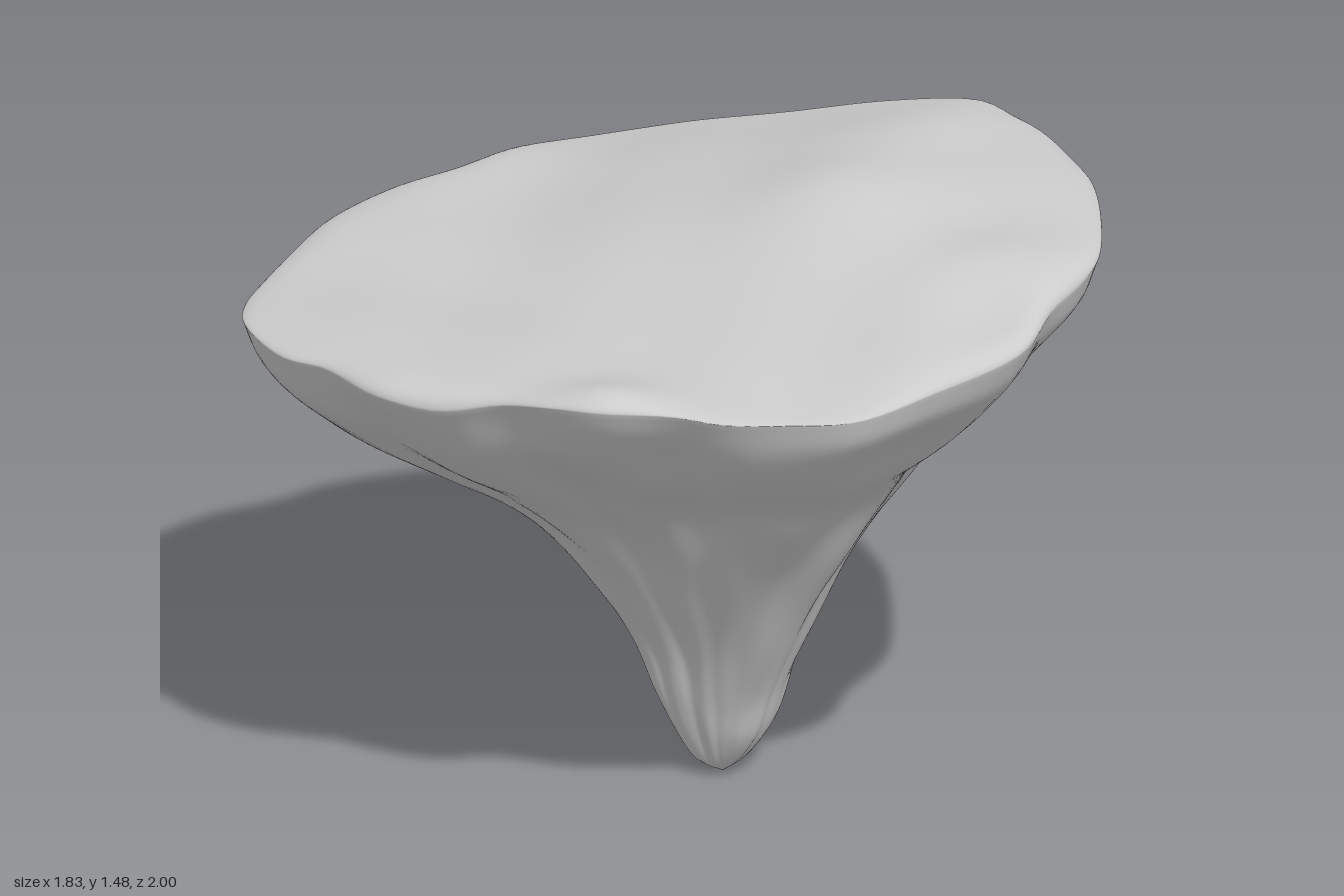
import * as THREE from 'three';

const COLS = 160, UNDER = 60, TOP = 44;

// Rim outline seen from above: x, y, z, starting at +x and turning towards +z
const RIM = [
  [.91, 1.43, .05], [.9, 1.42, .17], [.88, 1.42, .27], [.8, 1.42, .45], [.74, 1.42, .56], [.6, 1.42, .72],
  [.43, 1.41, .87], [.33, 1.39, .91], [.2, 1.37, .94], [.03, 1.33, 1], [-.2, 1.28, .935], [-.39, 1.25, .87],
  [-.5, 1.24, .75], [-.6, 1.24, .64], [-.66, 1.25, .54], [-.78, 1.26, .42], [-.815, 1.25, .3], [-.83, 1.22, .15],
  [-.89, 1.18, 0], [-.92, 1.18, -.17], [-.88, 1.18, -.37], [-.88, 1.17, -.5], [-.79, 1.17, -.71], [-.69, 1.16, -.8],
  [-.56, 1.15, -.87], [-.38, 1.14, -.95], [-.2, 1.15, -1], [-.03, 1.17, -.98], [.12, 1.19, -.91], [.3, 1.22, -.86],
  [.47, 1.24, -.77], [.63, 1.27, -.62], [.73, 1.33, -.4], [.83, 1.4, -.15],
];

// Underside profiles: share of the rim radius at each share of the rim height
const LEVELS = [0, .03, .09, .17, .28, .4, .52, .62, .7, .78, .87, .94, 1];
const PROFILES = [
  [0, .08, .15, .19, .21, .28, .38, .43, .49, .63, .81, .92, 1],     // +x
  [0, .05, .11, .15, .23, .32, .43, .53, .62, .75, .87, .96, 1],     // +z
  [0, .06, .1, .135, .175, .26, .36, .47, .59, .73, .87, .945, 1],   // -x
  [0, .05, .09, .13, .165, .22, .3, .44, .63, .83, .92, .97, 1],     // -z
].map(q => new THREE.CatmullRomCurve3(q.map((r, i) => new THREE.Vector3(r, LEVELS[i], 0))));

const { smoothstep } = THREE.MathUtils;
const bump = (x, z, cx, cz, size, h) => h * Math.exp(-((x - cx) ** 2 + (z - cz) ** 2) / size ** 2);

// Rolling ground: a low side at -x and -z stepping up to a plateau
function groundHeight(x, z) {
  const front = smoothstep(z, -.8, .2), step = smoothstep(x, -.5, .3);
  return 1.19 + .07 * front + step * (.09 + .1 * front)
    + bump(x, z, .3, .25, .22, .035) + bump(x, z, -.74, .4, .14, .05)
    + bump(x, z, .75, .1, .18, .02) + bump(x, z, .45, -.75, .2, -.01)
    - bump(x, z, .3, .55, .16, .02) - bump(x, z, .08, .87, .14, .03)
    + .006 * Math.sin(9 * x + 4 * z) * Math.sin(8 * z - 3 * x);
}

// Lumps, a fuller cross-section between the axes and one valley at the front
function rockScale(angle, t) {
  const valley = Math.exp(-(((angle - 2.45) / .2) ** 2)) * smoothstep(t, .35, .75);
  return 1 + Math.sin(Math.PI * t) * (.07 * Math.sin(2 * angle) ** 2 - .09 * valley
    + .018 * Math.sin(5 * angle + 9 * t) * Math.sin(14 * t + 2 * angle)
    + .015 * Math.sin(9 * angle - 7 * t) * Math.sin(24 * t));
}

function islandGeometry() {
  const curve = new THREE.CatmullRomCurve3(RIM.map(p => new THREE.Vector3(...p)), true);
  const rim = curve.getSpacedPoints(COLS).slice(0, COLS);
  const pos = [.05, 0, .03], index = [];

  // Underside rows, from the tip up to the rim
  for (let r = 1; r <= UNDER; r++) {
    const t = r / UNDER;
    const points = PROFILES.map(p => p.getPoint(t));
    for (const p of rim) {
      const angle = (Math.atan2(p.z, p.x) + 2 * Math.PI) % (2 * Math.PI);
      const quarter = angle / (Math.PI / 2), k = Math.floor(quarter) % 4;
      const w = Math.sin((quarter % 1) * Math.PI / 2) ** 2;
      const m = points[k].clone().lerp(points[(k + 1) % 4], w);
      const q = m.x * rockScale(angle, t);
      pos.push(.05 + (p.x - .05) * q, p.y * m.y, .03 + (p.z - .03) * q);
    }
  }

  // Top rows, from the rounded rim to the middle
  for (let r = 1; r < TOP; r++) {
    const s = Math.cos(r / TOP * Math.PI / 2);
    const round = Math.sqrt(1 - s ** 13);
    for (const p of rim) {
      const x = p.x * s, z = p.z * s;
      pos.push(x, p.y + (groundHeight(x, z) - p.y) * round, z);
    }
  }
  const middle = pos.length / 3;
  pos.push(0, groundHeight(0, 0), 0);

  // Fans at the tip and the middle, quads between neighbouring rows
  const rows = UNDER + TOP - 1;
  for (let c = 0; c < COLS; c++) {
    const next = (c + 1) % COLS;
    index.push(0, 1 + c, 1 + next);
    for (let r = 0; r < rows - 1; r++) {
      const a = 1 + r * COLS + c, d = 1 + r * COLS + next;
      index.push(a, a + COLS, d, d, a + COLS, d + COLS);
    }
    const last = 1 + (rows - 1) * COLS;
    index.push(last + c, middle, last + next);
  }

  const g = new THREE.BufferGeometry();
  g.setAttribute('position', new THREE.Float32BufferAttribute(pos, 3));
  g.setIndex(index);
  g.computeVertexNormals();
  return g;
}

export function createModel() {
  const group = new THREE.Group();
  group.name = 'floatingIsland';
  const rock = new THREE.Mesh(islandGeometry(), new THREE.MeshStandardMaterial({ color: 0xcccccc }));
  rock.name = 'islandRock';
  group.add(rock);
  return group;
}
